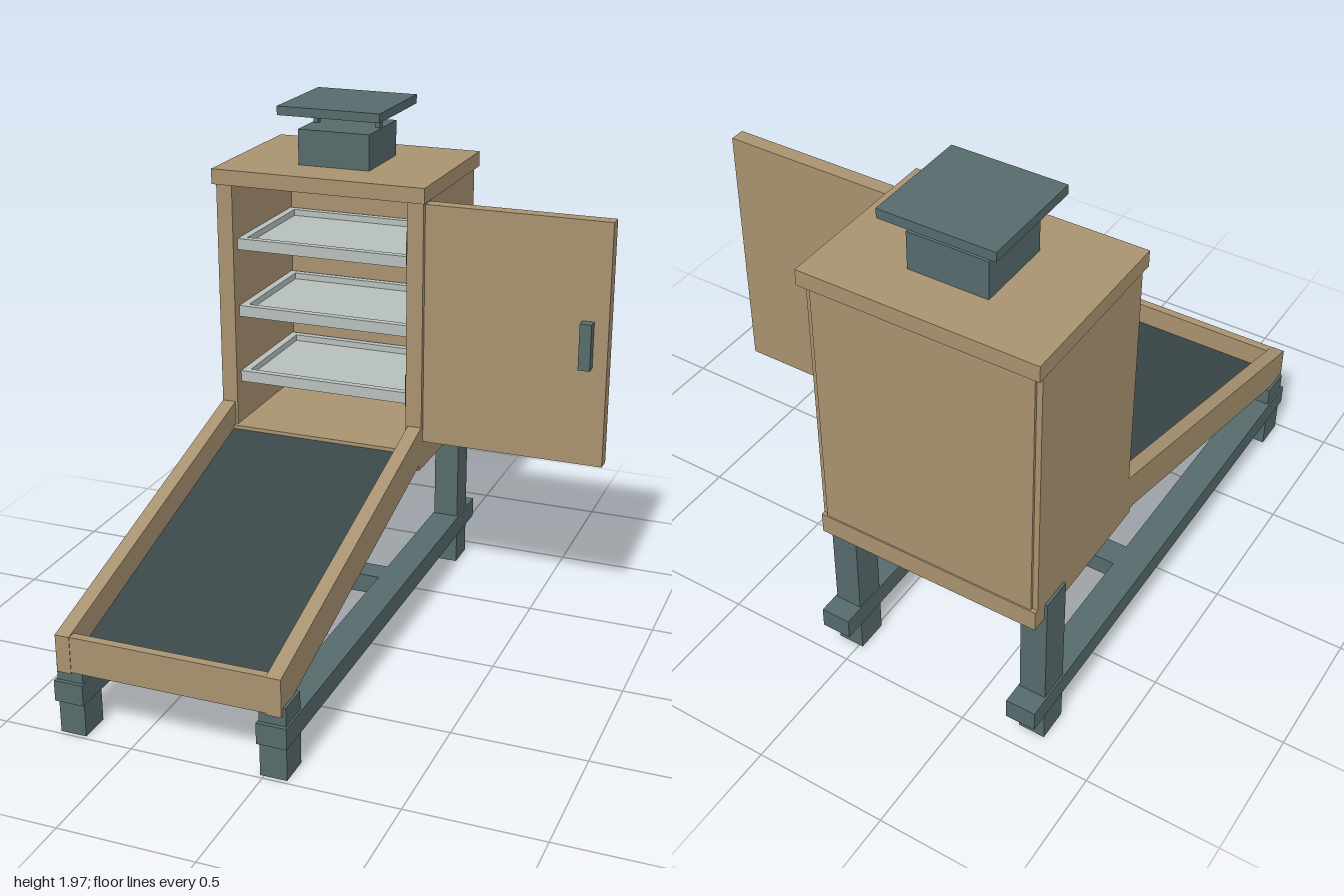
import * as THREE from 'three';

const paint = (color) => new THREE.MeshStandardMaterial({ color });

export function createModel() {
  const model = new THREE.Group();
  const wood = paint(0xa89270);
  const frame = paint(0x566a6c);
  const absorber = paint(0x3a4748);
  const metal = paint(0xb6bfbb);
  const mid = -0.35; // centre line of the cabinet and ramp

  // Box given by its minimum and maximum on each axis
  function box(name, material, [x0, x1], [y0, y1], [z0, z1], parent = model) {
    const mesh = new THREE.Mesh(new THREE.BoxGeometry(x1 - x0, y1 - y0, z1 - z0), material);
    mesh.position.set((x0 + x1) / 2, (y0 + y1) / 2, (z0 + z1) / 2);
    mesh.name = name;
    parent.add(mesh);
    return mesh;
  }

  // Side profile given as [z, y] points, extruded across x
  function sideProfile(name, material, points, [x0, x1]) {
    const shape = new THREE.Shape(points.map(([z, y]) => new THREE.Vector2(-z, y)));
    const geometry = new THREE.ExtrudeGeometry(shape, { depth: x1 - x0, bevelEnabled: false });
    geometry.rotateY(Math.PI / 2);
    geometry.translate(x0, 0, 0);
    const mesh = new THREE.Mesh(geometry, material);
    mesh.name = name;
    model.add(mesh);
  }

  // Range of x at a distance either side of the centre line
  const across = (side, inner, outer) =>
    side > 0 ? [mid + inner, mid + outer] : [mid - outer, mid - inner];

  // Cabinet
  box('cabinetFloor', wood, [-0.775, 0.075], [0.6, 0.68], [-0.98, -0.34]);
  box('cabinetRoof', wood, [-0.785, 0.085], [1.67, 1.73], [-1, -0.34]);
  box('cabinetBack', wood, [-0.755, 0.055], [0.68, 1.66], [-0.975, -0.93]);

  for (const side of [-1, 1]) {
    const label = side > 0 ? 'left' : 'right';
    box(label + 'CabinetWall', wood, across(side, 0.36, 0.425), [0.68, 1.67], [-0.965, -0.36]);

    // Sloping ramp rail
    sideProfile(label + 'RampRail', wood,
      [[1, 0.25], [1, 0.393], [-0.36, 0.774], [-0.36, 0.628]], across(side, 0.37, 0.425));

    // Stand
    box(label + 'FrontLeg', frame, across(side, 0.335, 0.435), [0, 0.28], [0.865, 0.985]);
    box(label + 'BackLeg', frame, across(side, 0.335, 0.435), [0, 0.665], [-0.92, -0.8]);
    box(label + 'StandRail', frame, across(side, 0.33, 0.442), [0.13, 0.21], [-1, 1]);

    // Chimney cap support
    box(label + 'CapPost', frame, across(side, 0.12, 0.14), [1.87, 1.93], [-0.68, -0.655]);
  }
  box('standCrossbar', frame, [-0.68, -0.02], [0.135, 0.21], [-0.25, -0.15]);

  // Heat collecting ramp
  sideProfile('absorberPanel', absorber,
    [[0.97, 0.24], [0.97, 0.298], [-0.34, 0.665], [-0.34, 0.612]], [-0.72, 0.02]);
  box('rampFrontBoard', wood, [-0.75, 0.05], [0.255, 0.393], [0.965, 0.998]);

  // Drying trays with a raised rim
  for (const y of [0.85, 1.125, 1.4]) {
    const tray = new THREE.Group();
    tray.name = 'tray';
    model.add(tray);
    box('trayMesh', metal, [-0.69, -0.01], [y + 0.005, y + 0.02], [-0.9, -0.42], tray);
    for (const side of [-1, 1]) {
      box('traySideRim', metal, across(side, 0.33, 0.36), [y, y + 0.045], [-0.92, -0.4], tray);
      const z = -0.66 + side * 0.245;
      box('trayEndRim', metal, [-0.68, -0.02], [y, y + 0.045], [z - 0.015, z + 0.015], tray);
    }
  }

  // Open door with handle and hinges
  box('door', wood, [0.072, 0.79], [0.71, 1.66], [-0.435, -0.38]);
  box('doorHandle', frame, [0.69, 0.735], [1.1, 1.28], [-0.38, -0.34]);
  for (const y of [0.85, 1.42]) {
    box('hinge', frame, [0.004, 0.02], [y, y + 0.13], [-0.43, -0.37]);
  }

  // Chimney
  box('chimney', frame, [-0.497, -0.203], [1.73, 1.87], [-0.815, -0.52]);
  box('chimneyCap', frame, [-0.56, -0.14], [1.93, 1.965], [-0.875, -0.465]);

  return model;
}
